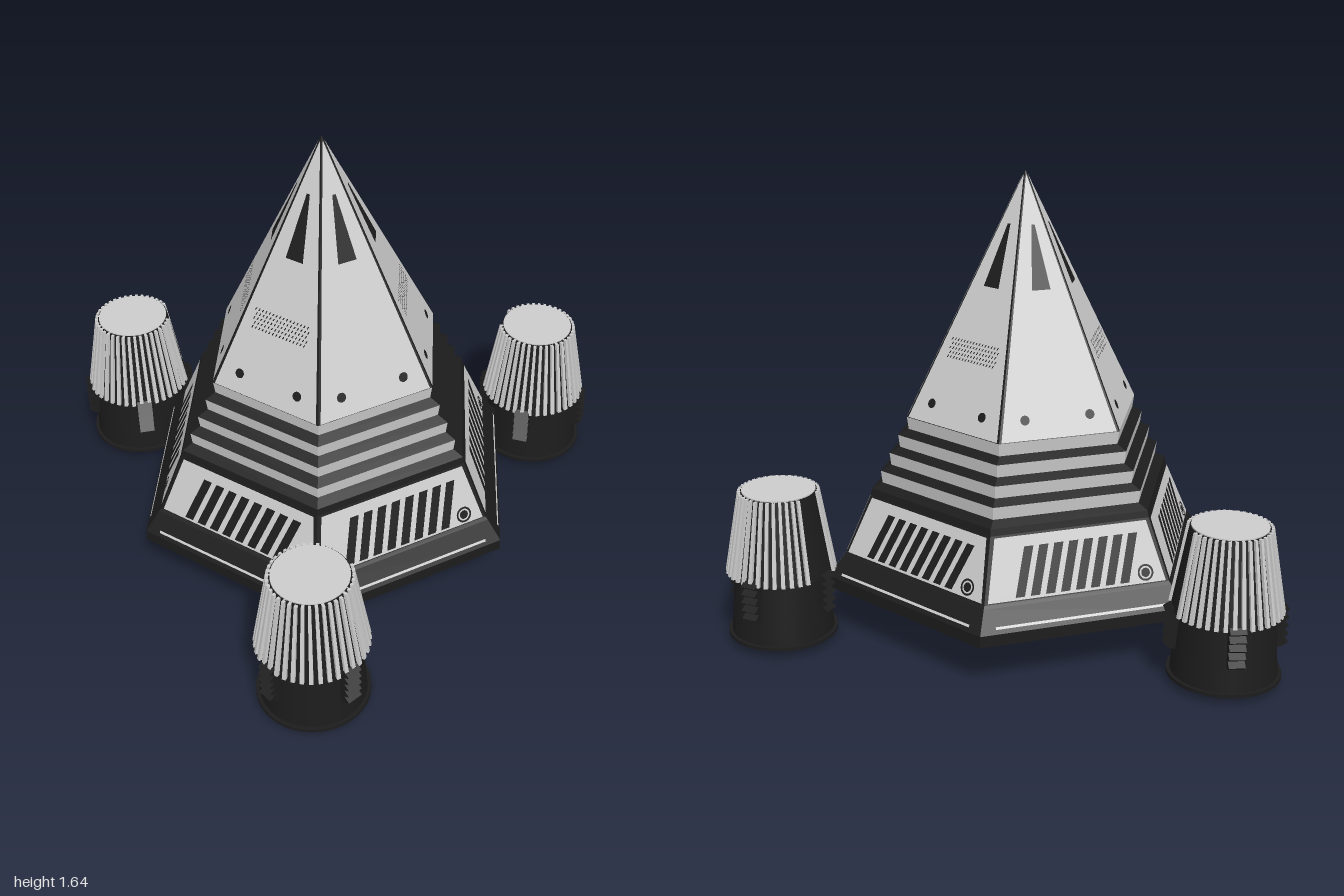
import * as THREE from 'three';
import { mergeGeometries } from 'three/addons/utils/BufferGeometryUtils.js';

const light = new THREE.MeshStandardMaterial({ color: 0xcccccc, flatShading: true, side: THREE.DoubleSide });
const dark = new THREE.MeshStandardMaterial({ color: 0x1c1c1c, flatShading: true, side: THREE.DoubleSide });
const darkSmooth = new THREE.MeshStandardMaterial({ color: 0x1c1c1c });

const rad = THREE.MathUtils.degToRad;

function add(parent, name, geometry, material, x = 0, y = 0, z = 0) {
  const mesh = new THREE.Mesh(geometry, material);
  mesh.name = name;
  mesh.position.set(x, y, z);
  parent.add(mesh);
  return mesh;
}

// six-sided surface with corners on the x axis; profile runs bottom to top
function hex(profile) {
  const pts = profile.map(([r, y]) => new THREE.Vector2(r, y));
  return new THREE.LatheGeometry(pts, 6, Math.PI / 2);
}

function polygon(points) {
  return new THREE.ShapeGeometry(new THREE.Shape(points.map(([x, y]) => new THREE.Vector2(x, y))));
}

// group lying on one sloped hex face: x across, y up the slope, z outwards
function faceGroup(parent, name, side, r0, y0, r1, y1) {
  const c = Math.cos(Math.PI / 6);
  const turn = new THREE.Group();
  turn.rotation.y = side * Math.PI / 3;
  const face = new THREE.Group();
  face.name = name;
  face.position.set(0, y0, r0 * c);
  face.rotation.x = -Math.atan2((r0 - r1) * c, y1 - y0);
  turn.add(face);
  parent.add(turn);
  return face;
}

// staggered rows of slanted dashes
function ventDashes() {
  const list = [];
  for (let row = 0; row < 5; row++) {
    for (let i = 0; i < 16; i++) {
      const x = -0.11 + i * 0.014 + (row % 2) * 0.006;
      const y = 0.242 + row * 0.016;
      list.push(polygon([[x, y], [x + 0.004, y], [x + 0.008, y + 0.009], [x + 0.004, y + 0.009]]));
    }
  }
  return mergeGeometries(list);
}

function buildHull() {
  const hull = new THREE.Group();
  hull.name = 'hull';
  add(hull, 'lowerHull', hex([[0, 0.003], [0.735, 0.165], [0.735, 0.207], [0.68, 0.28],
    [0.67, 0.29], [0.575, 0.5], [0.569, 0.524]]), dark);

  // stepped collar: pale bands with dark sloping ledges between them
  for (let k = 0; k < 4; k++) {
    const y = 0.78 - 0.064 * k, r = 0.437 + 0.033 * k;
    add(hull, 'collarBand', hex([[r - 0.006, y - 0.045], [r, y]]), light);
    add(hull, 'collarLedge', hex([[r + 0.033, y - 0.064], [r - 0.006, y - 0.045]]), dark);
  }
  add(hull, 'spireCore', hex([[0, 0.78], [0.437, 0.78], [0, 1.64]]), dark);

  const dashes = ventDashes();
  for (let side = 0; side < 6; side++) {
    // spire plates, windows, portholes and vents
    const spire = faceGroup(hull, 'spireFace', side, 0.437, 0.78, 0, 1.64);
    add(spire, 'spirePlate', polygon([[-0.21, 0.002], [0.21, 0.002], [0.001, 0.92], [-0.001, 0.92]]), light, 0, 0, 0.002);
    add(spire, 'window', polygon([[-0.034, 0.513], [0.034, 0.513], [0.006, 0.743], [-0.006, 0.743]]), dark, 0, 0, 0.005);
    for (const x of [-0.118, 0.118]) {
      add(spire, 'porthole', new THREE.CircleGeometry(0.017, 16), dark, x, 0.071, 0.005);
    }
    add(spire, 'vent', dashes, side % 3 === 0 ? light : dark, 0, 0, 0.005);

    // lower wall panels with slanted slits and a round port
    const wall = faceGroup(hull, 'wallFace', side, 0.67, 0.29, 0.575, 0.5);
    add(wall, 'wallPanel', polygon([[-0.323, 0.004], [0.323, 0.004], [0.275, 0.218], [-0.275, 0.218]]), light, 0, 0, 0.003);
    for (let i = 0; i < 8; i++) {
      const x = -0.225 + i * 0.054;
      add(wall, 'slit', polygon([[x, 0.013], [x + 0.033, 0.013], [x + 0.083, 0.18], [x + 0.05, 0.18]]), dark, 0, 0, 0.006);
    }
    add(wall, 'portRing', new THREE.RingGeometry(0.022, 0.029, 24), dark, 0.25, 0.04, 0.006);
    add(wall, 'portCentre', new THREE.CircleGeometry(0.016, 20), dark, 0.25, 0.04, 0.006);

    // pale stripe on the rim
    const rim = faceGroup(hull, 'rimFace', side, 0.735, 0.207, 0.68, 0.28);
    add(rim, 'rimStripe', new THREE.PlaneGeometry(0.62, 0.009), light, 0, 0.02, 0.003);
  }
  return hull;
}

// zigzag latch profile, thickened sideways
function latchGeometry() {
  const shape = new THREE.Shape();
  shape.moveTo(0.155, 0.13);
  for (let i = 0; i < 5; i++) {
    shape.lineTo(0.187, 0.13 + i * 0.03);
    shape.lineTo(0.21, 0.145 + i * 0.03);
  }
  shape.lineTo(0.187, 0.28);
  shape.lineTo(0.155, 0.28);
  return new THREE.ExtrudeGeometry(shape, { depth: 0.056, bevelEnabled: false }).translate(0, 0, -0.028);
}

// tapered rib leaning in towards the top
function ribGeometry() {
  const h = 0.295, geo = new THREE.BoxGeometry(0.014, h, 0.017);
  const p = geo.attributes.position;
  for (let i = 0; i < p.count; i++) {
    const t = p.getY(i) / h + 0.5;
    p.setXYZ(i, p.getZ(i) + 0.188 - 0.052 * t, 0.265 + h * t, -p.getX(i) * (1 - 0.27 * t));
  }
  geo.computeVertexNormals();
  return geo;
}

// angles run from +x towards +z
function buildPod(latchAngle, gapAngle) {
  const pod = new THREE.Group();
  pod.name = 'enginePod';
  add(pod, 'podFoot', new THREE.CylinderGeometry(0.195, 0.195, 0.012, 40), darkSmooth, 0, 0.034, 0);
  add(pod, 'podBody', new THREE.CylinderGeometry(0.165, 0.182, 0.225, 40), darkSmooth, 0, 0.1525, 0);
  add(pod, 'podCore', new THREE.CylinderGeometry(0.134, 0.186, 0.295, 40), darkSmooth, 0, 0.4125, 0);
  add(pod, 'podCap', new THREE.CylinderGeometry(0.13, 0.13, 0.006, 40), light, 0, 0.561, 0);

  const rib = ribGeometry(), latch = latchGeometry();
  for (let a = 0; a < 360; a += 9) {
    const off = Math.abs(((a - gapAngle + 540) % 360) - 180);
    if (off > 17) add(pod, 'podRib', rib, light).rotation.y = -rad(a);
  }
  for (let k = 0; k < 4; k++) {
    add(pod, 'podLatch', latch, dark).rotation.y = -rad(latchAngle + 90 * k);
  }
  return pod;
}

export function createModel() {
  const model = new THREE.Group();
  model.name = 'spireCraft';
  const craft = new THREE.Group();
  craft.name = 'craft';
  craft.position.x = -0.185;
  model.add(craft);
  craft.add(buildHull());

  // three pods on alternate corners: position, latch and plain-strip angles
  for (const [angle, latch, gap] of [[0, 45, 229], [120, -15, 349], [240, 15, 17]]) {
    const pod = buildPod(latch, gap);
    pod.position.set(0.907 * Math.cos(rad(angle)), 0, 0.907 * Math.sin(rad(angle)));
    craft.add(pod);
  }
  return model;
}
